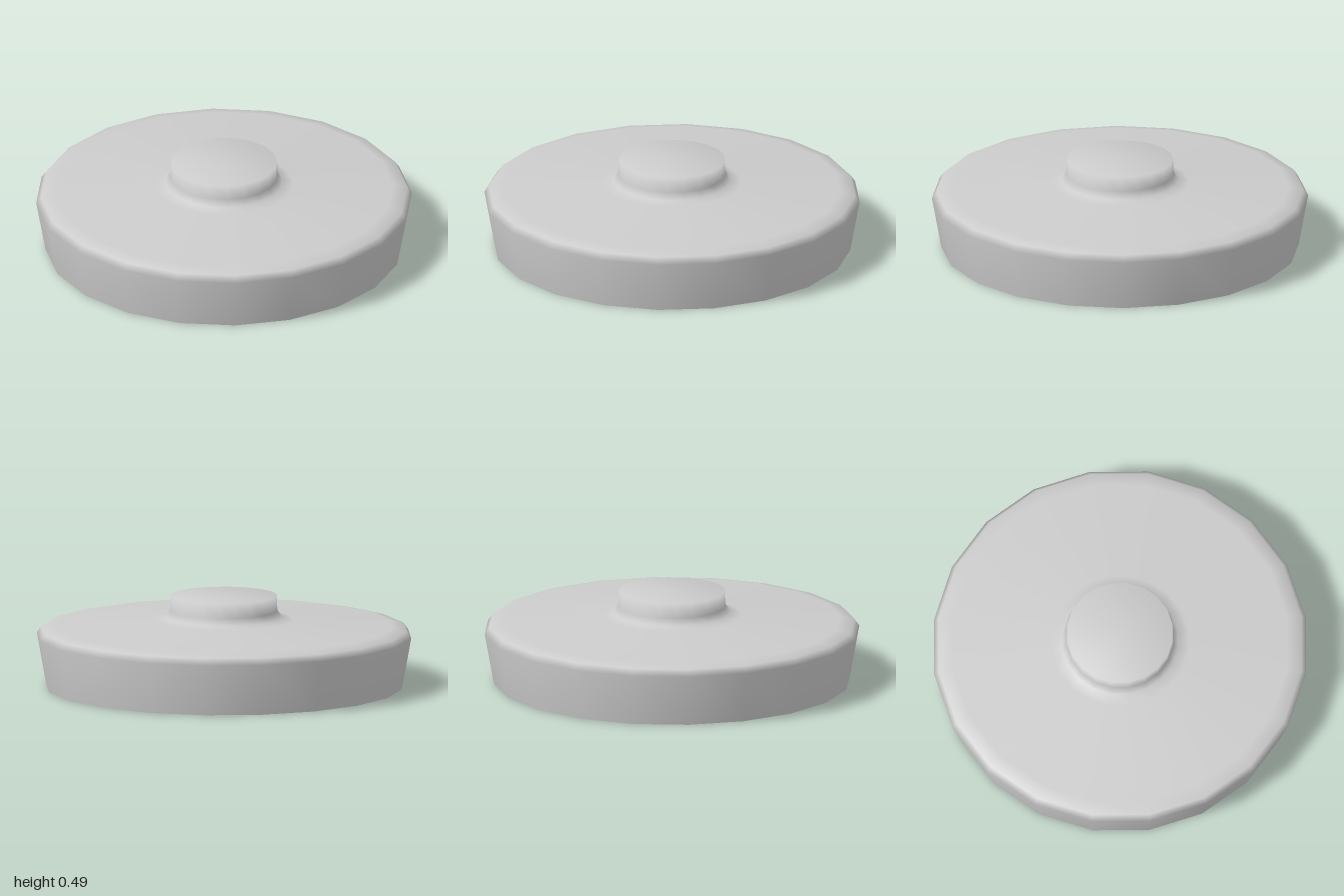
import * as THREE from 'three';

export function createModel() {
  const group = new THREE.Group();
  const material = new THREE.MeshStandardMaterial({ color: 0xcccccc, side: THREE.DoubleSide });

  // One hollow shell, open underneath: flared skirt, rounded rim, sloping top, neck and knob
  const profile = [
    [0.95, 0],
    [1.0, 0.275],
    [0.975, 0.31],
    [0.9, 0.327],
    [0.37, 0.36],
    [0.31, 0.375],
    [0.285, 0.41],
    [0.283, 0.49],
    [0, 0.49],
  ].map(([r, y]) => new THREE.Vector2(r, y));

  const lid = new THREE.Mesh(new THREE.LatheGeometry(profile, 20), material);
  lid.name = 'lid';
  group.add(lid);
  return group;
}
